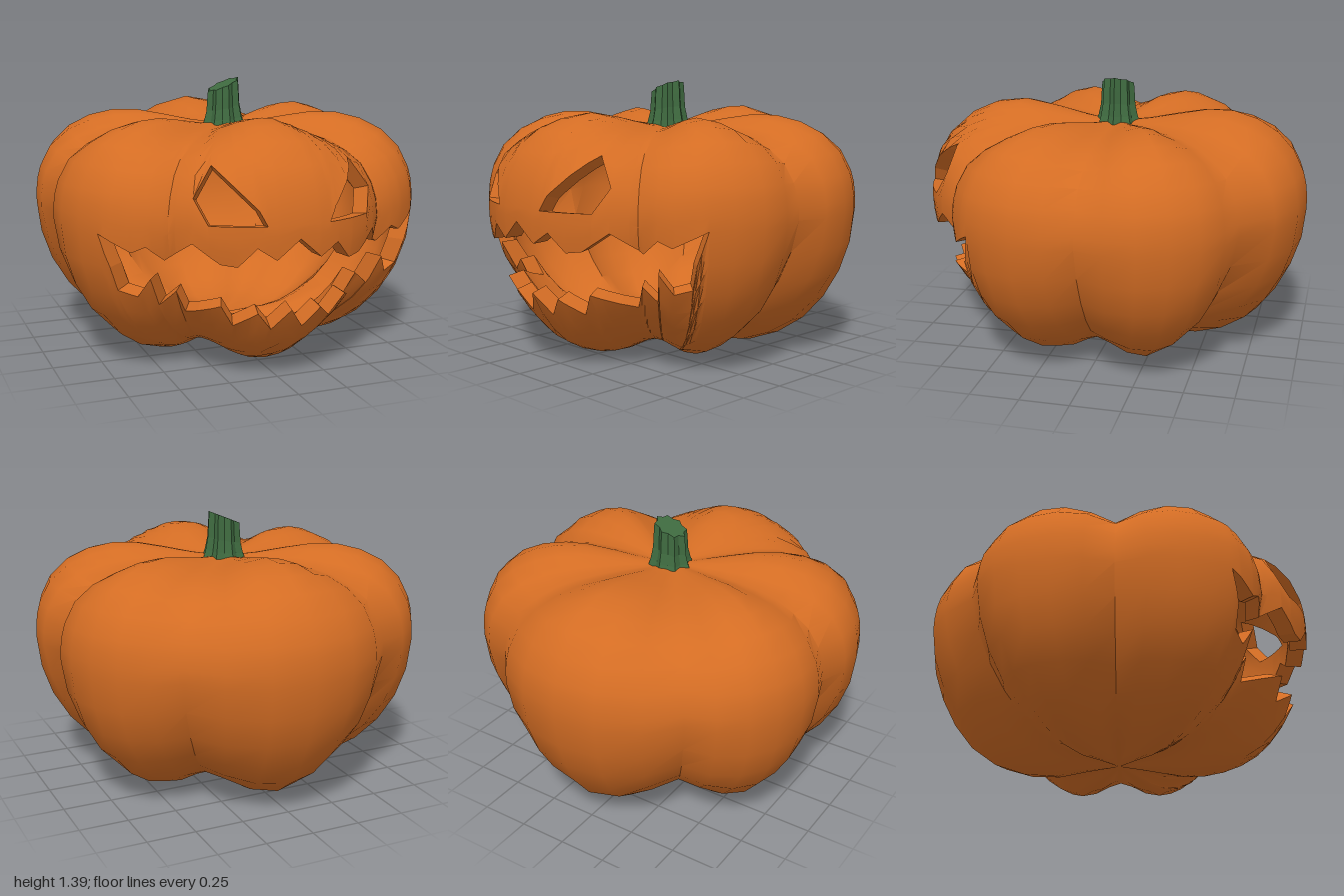
import * as THREE from 'three';
import { toCreasedNormals } from 'three/addons/utils/BufferGeometryUtils.js';

const DEG = Math.PI / 180;
const curve = pts => new THREE.CatmullRomCurve3(pts.map(([r, y]) => new THREE.Vector3(r, y, 0)));

// Profiles (radius, height) from bottom centre to top centre
const ridge = curve([[0, 0.05], [0.2, 0.025], [0.37, 0], [0.55, 0.03], [0.71, 0.11], [0.83, 0.24], [0.92, 0.4],
  [0.98, 0.57], [1, 0.75], [0.985, 0.9], [0.93, 1.03], [0.83, 1.14], [0.7, 1.21], [0.55, 1.24], [0.4, 1.22],
  [0.22, 1.18], [0, 1.15]]);
const groove = curve([[0, 0.05], [0.15, 0.06], [0.3, 0.07], [0.43, 0.1], [0.55, 0.17], [0.66, 0.27], [0.76, 0.4],
  [0.85, 0.57], [0.9, 0.75], [0.875, 0.89], [0.81, 1.0], [0.71, 1.07], [0.59, 1.12], [0.46, 1.14], [0.32, 1.15],
  [0.17, 1.15], [0, 1.15]]);

// Carved outlines for x >= 0, as lower and upper edges (x, y)
const mouthLow = [[0, 0.385], [0.08, 0.28], [0.16, 0.375], [0.25, 0.3], [0.32, 0.41], [0.42, 0.335], [0.47, 0.48],
  [0.55, 0.38], [0.59, 0.56], [0.655, 0.43], [0.69, 0.6], [0.74, 0.46], [0.78, 0.58], [0.83, 0.74]];
const mouthHigh = [[0, 0.745], [0.11, 0.65], [0.2, 0.71], [0.28, 0.62], [0.35, 0.63], [0.46, 0.72], [0.55, 0.62],
  [0.64, 0.69], [0.7, 0.66], [0.83, 0.74]];
const eyeLow = [[0.155, 0.81], [0.4, 0.81], [0.445, 0.925]];
const eyeHigh = [[0.155, 0.81], [0.19, 0.88], [0.345, 1.065], [0.445, 0.925]];

// Lobe weight: 1 on a ridge, 0 in a groove; wide lobes front and back, two narrower ones on each side.
// Creases are sharp around the waist and soften towards the poles.
function lobe(phi, v) {
  let a = Math.abs(phi) / DEG;
  if (a > 90) a = 180 - a;
  const side = a > 37;
  const s = Math.min(1, Math.abs(side ? (a - 63.5) / 26.5 : a / 37));
  const soft = THREE.MathUtils.smoothstep(Math.abs(v - 0.5), 0.1, 0.32);
  const sharpWeight = 1 - Math.pow(s, 2.4), softWeight = Math.cos(s * Math.PI / 2) ** 2;
  return THREE.MathUtils.lerp(sharpWeight, softWeight, soft) * (side ? 1 - 0.18 * soft : 1);
}

const section = (phi, v) => groove.getPoint(v).lerp(ridge.getPoint(v), lobe(phi, v));

function outer(phi, v) {
  const p = section(phi, v);
  return new THREE.Vector3(p.x * Math.sin(phi), p.y, p.x * Math.cos(phi));
}

// Inner wall: the skin drawn in towards the middle
const core = new THREE.Vector3(0, 0.66, 0);
const inner = (phi, v) => outer(phi, v).lerp(core, 0.09);

// Surface coordinates (phi, v) of a point drawn on the front
function locate([x, y]) {
  let phi = Math.asin(x), v = 0.5;
  for (let k = 0; k < 40; k++) {
    let lo = 3 / 16, hi = 12.5 / 16;
    for (let n = 0; n < 24; n++) {
      v = (lo + hi) / 2;
      if (section(phi, v).y < y) lo = v; else hi = v;
    }
    phi += 0.5 * (Math.asin(Math.min(1, x / section(phi, v).x)) - phi);
  }
  return [phi, v];
}

// Piecewise linear edge, held constant beyond its ends
function edgeAt(edge, phi) {
  const a = Math.abs(phi);
  if (a <= edge[0][0]) return edge[0][1];
  for (let k = 1; k < edge.length; k++) {
    const [p0, v0] = edge[k - 1], [p1, v1] = edge[k];
    if (a <= p1) return v0 + (v1 - v0) * (a - p0) / (p1 - p0);
  }
  return edge[edge.length - 1][1];
}

const geometry = tris => new THREE.BufferGeometry().setFromPoints(tris);

function quad(out, a, b, c, d) {
  for (const t of [[a, b, c], [a, c, d]]) {
    if (new THREE.Triangle(...t).getArea() > 1e-7) out.push(...t);
  }
}

function buildPumpkin() {
  const edges = [mouthLow, mouthHigh, eyeLow, eyeHigh].map(e => e.map(locate));
  const at = edges.map(e => phi => edgeAt(e, phi));

  // Columns at every lobe step and every corner of the carving
  let half = [];
  for (let k = 0; k <= 3; k++) half.push(k * 37 / 3 * DEG, (180 - k * 37 / 3) * DEG);
  for (let k = 1; k <= 11; k++) half.push((37 + k * 53 / 6) * DEG);
  half.push(...edges.flat().map(p => p[0]));
  half = half.sort((a, b) => a - b).filter((p, i, all) => i === 0 || p - all[i - 1] > 1e-5);
  const columns = [...half.slice(1).reverse().map(p => -p), ...half];

  const bands = [
    { from: () => 0, to: at[0], rows: 9 },
    { from: at[1], to: at[2], rows: 3 },
    { from: at[3], to: () => 1, rows: 8 },
  ];
  const skin = [], lining = [], mouth = [], eyes = [];
  for (let i = 0; i < columns.length - 1; i++) {
    const p = columns[i], q = columns[i + 1];

    // Skin and lining below the mouth, between mouth and eyes, and above
    for (const { from, to, rows } of bands) {
      for (let j = 0; j < rows; j++) {
        const v = (phi, k) => THREE.MathUtils.lerp(from(phi), to(phi), k / rows);
        const corners = [[p, v(p, j)], [q, v(q, j)], [q, v(q, j + 1)], [p, v(p, j + 1)]];
        quad(skin, ...corners.map(c => outer(...c)));
        quad(lining, ...corners.map(c => inner(...c)).reverse());
      }
    }

    // Cut walls through the thickness of the shell
    const mid = (p + q) / 2;
    [[at[0], at[1], mouth], [at[2], at[3], eyes]].forEach(([low, high, out]) => {
      if (high(mid) - low(mid) < 1e-5) return;
      quad(out, outer(p, low(p)), outer(q, low(q)), inner(q, low(q)), inner(p, low(p)));
      quad(out, inner(p, high(p)), inner(q, high(q)), outer(q, high(q)), outer(p, high(p)));
    });
  }
  return { skin, lining, mouth, eyes };
}

// Ribbed stem: flared foot, waist and slanted top
function stemGeometry() {
  const geo = new THREE.CylinderGeometry(1, 1, 1, 16, 4);
  const pos = geo.attributes.position;
  const radii = [0.115, 0.095, 0.083, 0.08, 0.076];
  for (let i = 0; i < pos.count; i++) {
    const x = pos.getX(i), z = pos.getZ(i), t = pos.getY(i) + 0.5;
    const rib = 1 + 0.11 * Math.cos(8 * Math.atan2(x, z));
    const r = radii[Math.round(t * 4)] * rib;
    pos.setXYZ(i, x * r, 1.12 + t * (0.235 + 0.42 * x * r), z * r);
  }
  const flat = geo.toNonIndexed();
  flat.computeVertexNormals();
  return flat;
}

export function createModel() {
  const group = new THREE.Group();
  const orange = new THREE.MeshStandardMaterial({ color: 0xd46d24 });
  const cut = new THREE.MeshStandardMaterial({ color: 0xd46d24, flatShading: true });
  const green = new THREE.MeshStandardMaterial({ color: 0x3f6b40, flatShading: true });
  const add = (name, geo, material) => {
    const mesh = new THREE.Mesh(geo, material);
    mesh.name = name;
    group.add(mesh);
  };

  const parts = buildPumpkin();
  add('pumpkinSkin', toCreasedNormals(geometry(parts.skin), 0.8), orange);
  add('pumpkinLining', toCreasedNormals(geometry(parts.lining), 0.8), orange);
  for (const [name, tris] of [['mouthWalls', parts.mouth], ['eyeWalls', parts.eyes]]) {
    const geo = geometry(tris);
    geo.computeVertexNormals();
    add(name, geo, cut);
  }
  add('stem', stemGeometry(), green);
  return group;
}
